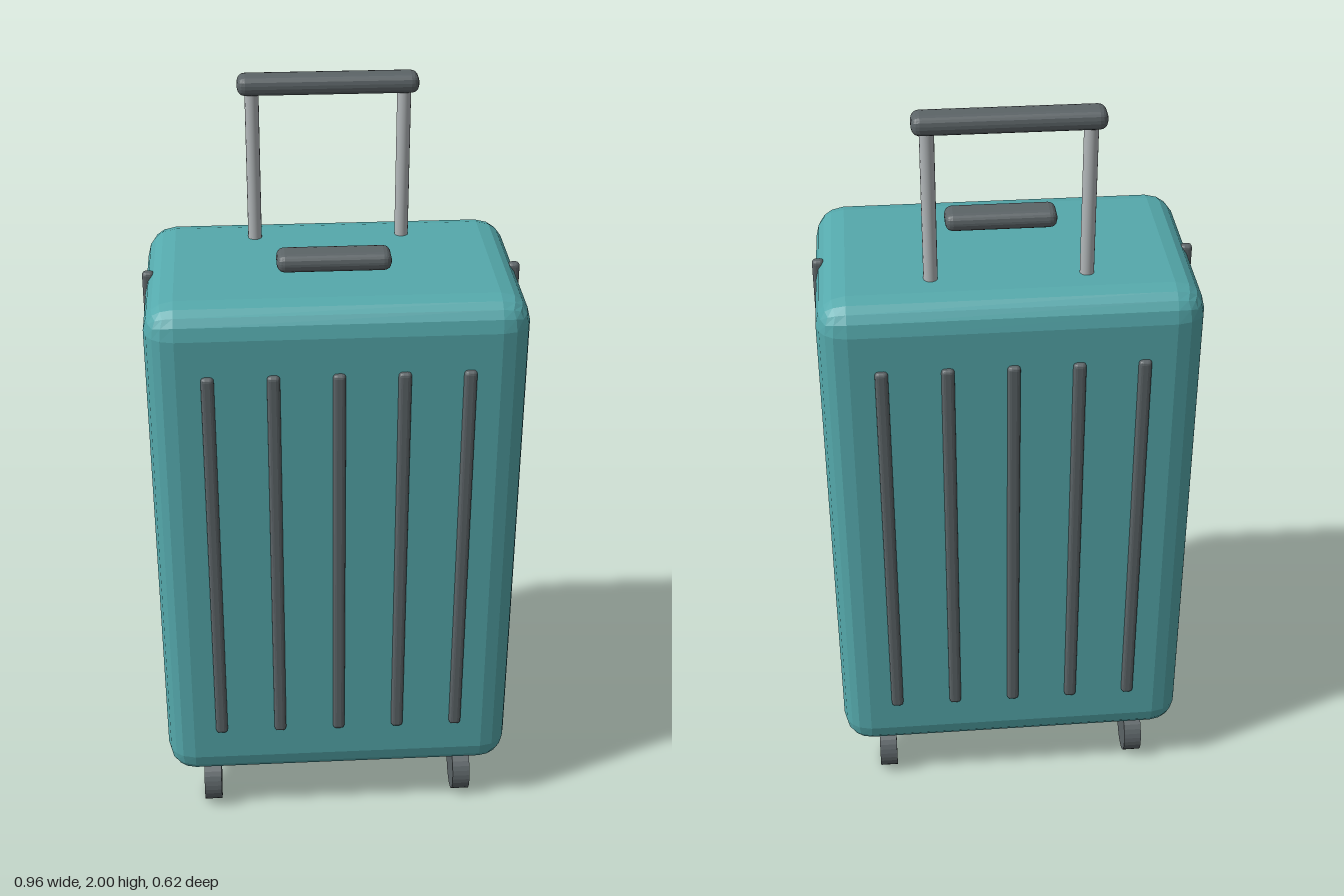
import * as THREE from 'three';
import { RoundedBoxGeometry } from 'three/addons/geometries/RoundedBoxGeometry.js';

const material = (name, color, flatShading = false) => {
  const m = new THREE.MeshStandardMaterial({ color, flatShading });
  m.name = name;
  return m;
};

export function createModel() {
  const model = new THREE.Group();
  model.name = 'suitcase';
  const teal = material('teal shell', 0x55a9ac, true);
  const dark = material('dark grey trim', 0x5c6467, true);
  const metal = material('light metal', 0xb4b9bb);

  const add = (name, geometry, mat, x, y, z) => {
    const mesh = new THREE.Mesh(geometry, mat);
    mesh.name = name;
    mesh.position.set(x, y, z);
    model.add(mesh);
    return mesh;
  };
  const rounded = (w, h, d, r) => new RoundedBoxGeometry(w, h, d, 2, r);

  // Shell
  add('shell', rounded(0.942, 1.43, 0.594, 0.075), teal, 0, 0.855, 0);

  // Vertical ribs on the front and back
  const rib = rounded(0.032, 1.095, 0.03, 0.01);
  for (const side of [1, -1]) {
    for (let i = -2; i <= 2; i++) {
      add(side > 0 ? 'frontRib' : 'backRib', rib, dark, i * 0.16, 0.853, side * 0.295);
    }
  }

  const strip = rounded(0.03, 1.39, 0.025, 0.01);
  const rod = new THREE.CylinderGeometry(0.0175, 0.0175, 0.47, 16);
  const wheel = new THREE.CylinderGeometry(0.07, 0.07, 0.048, 32).rotateZ(Math.PI / 2);
  for (const [label, s] of [['left', 1], ['right', -1]]) {
    // Seam strip, telescopic rod and the two wheels of each side
    add(label + 'SeamStrip', strip, dark, s * 0.463, 0.855, 0);
    add(label + 'HandleRod', rod, metal, s * 0.19, 1.735, -0.155);
    add(label + 'FrontWheel', wheel, dark, s * 0.352, 0.07, 0.2);
    add(label + 'BackWheel', wheel, dark, s * 0.352, 0.07, -0.2);
  }

  // Pull handle and carry handle
  add('pullHandleGrip', rounded(0.452, 0.048, 0.07, 0.02), dark, 0, 1.976, -0.156);
  add('carryHandle', rounded(0.284, 0.046, 0.08, 0.02), dark, 0, 1.607, 0.08);

  return model;
}
